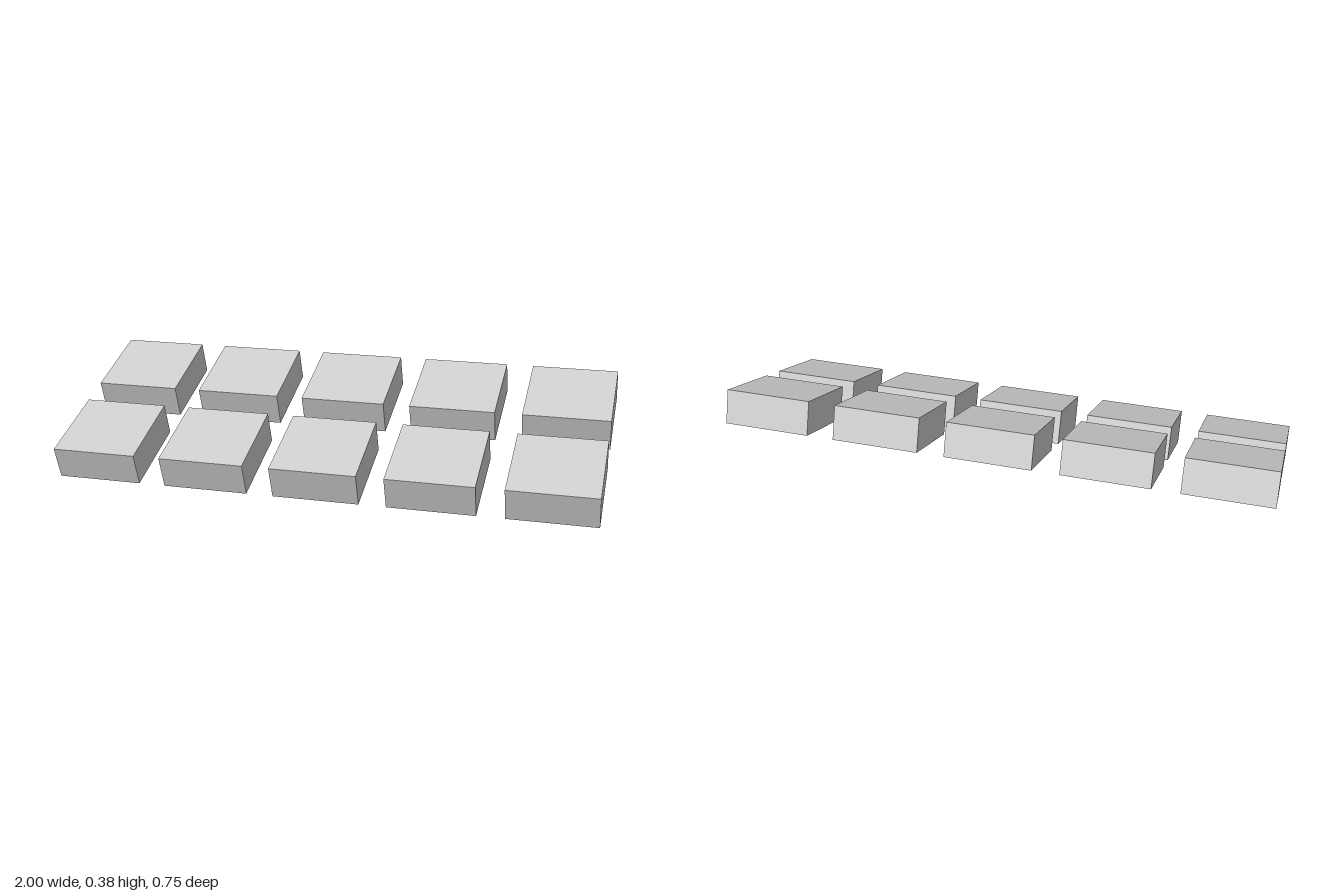
import * as THREE from 'three';

// Two rows of five square keys lying on one plane tilted towards the front
export function createModel() {
  const model = new THREE.Group();
  model.name = 'keyBank';
  const material = new THREE.MeshStandardMaterial({ color: 0xcccccc, flatShading: true });

  const size = 0.32, thickness = 0.127;
  const columnPitch = 0.42, rowPitch = 0.435;
  const keyShape = new THREE.BoxGeometry(size, thickness, size);

  const keys = new THREE.Group();
  keys.name = 'tiltedKeys';
  keys.rotation.x = THREE.MathUtils.degToRad(20);
  keys.position.y = 0.189;
  model.add(keys);

  ['backRow', 'frontRow'].forEach((name, r) => {
    const row = new THREE.Group();
    row.name = name;
    row.position.z = (r - 0.5) * rowPitch;
    for (let c = 0; c < 5; c++) {
      const key = new THREE.Mesh(keyShape, material);
      key.name = `${name}Key${c + 1}`;
      key.position.x = (c - 2) * columnPitch;
      row.add(key);
    }
    keys.add(row);
  });

  return model;
}
